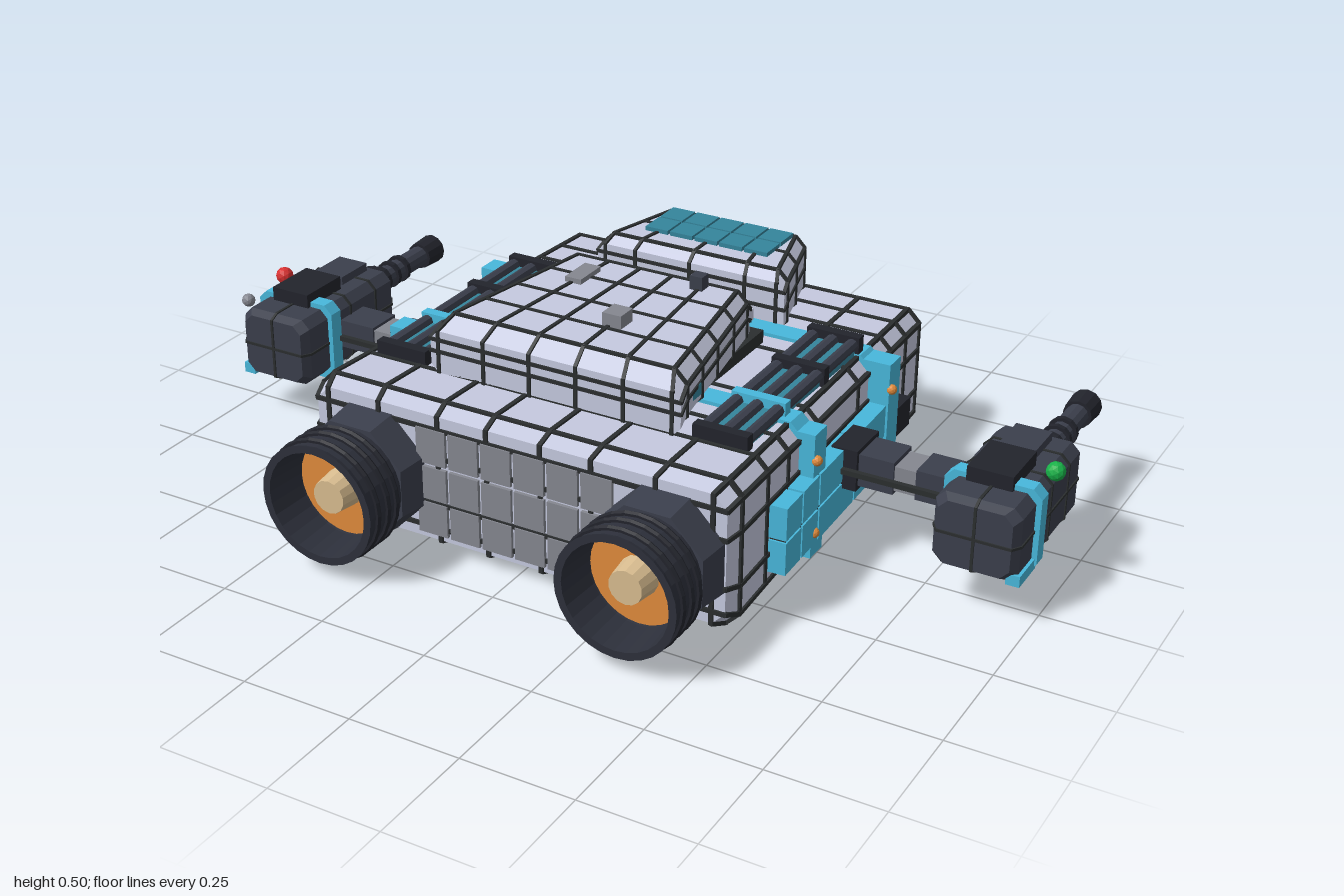
import * as THREE from 'three';
import { mergeGeometries } from 'three/addons/utils/BufferGeometryUtils.js';

const mat = (color, extra = {}) => new THREE.MeshStandardMaterial({ color, flatShading: true, ...extra });
const M = {
  hull: mat(0xc6cae0), grey: mat(0x858790), seam: mat(0x2b2e2f), dark: mat(0x3b3f4c),
  black: mat(0x22242c), cyan: mat(0x48b8dc), teal: mat(0x35859c), tan: mat(0xd9bd90),
  orange: mat(0xe08b3c), red: mat(0xd83030), green: mat(0x18b048),
  shell: mat(0x2d303b, { side: THREE.DoubleSide }),
};

function add(parent, name, geo, material, x = 0, y = 0, z = 0) {
  const m = new THREE.Mesh(geo, material);
  m.name = name;
  m.position.set(x, y, z);
  parent.add(m);
  return m;
}

// Box given by its extents on each axis
function box(parent, name, material, x0, x1, y0, y1, z0, z1) {
  return add(parent, name, new THREE.BoxGeometry(Math.abs(x1 - x0), y1 - y0, z1 - z0), material,
    (x0 + x1) / 2, (y0 + y1) / 2, (z0 + z1) / 2);
}

// Chamfered cross-section [z, halfWidth, bottom, top, chamfer] as eight points
const outline = ([z, w, b, t, c]) => [
  [w, b + c], [w, t - c], [w - c, t], [c - w, t], [-w, t - c], [-w, b + c], [c - w, b], [w - c, b],
].map(([x, y]) => new THREE.Vector3(x, y, z));

// Solid through cross-sections ordered from low z to high z
function loft(sections) {
  const rings = sections.map(outline), v = [];
  const tri = (...pts) => pts.forEach(p => v.push(p.x, p.y, p.z));
  for (let i = 0; i < rings.length - 1; i++) {
    for (let j = 0; j < 8; j++) {
      const k = (j + 1) % 8, a = rings[i], b = rings[i + 1];
      tri(a[j], a[k], b[k]);
      tri(a[j], b[k], b[j]);
    }
  }
  const first = rings[0], last = rings[rings.length - 1];
  for (let j = 1; j < 7; j++) {
    tri(first[0], first[j + 1], first[j]);
    tri(last[0], last[j], last[j + 1]);
  }
  const g = new THREE.BufferGeometry();
  g.setAttribute('position', new THREE.Float32BufferAttribute(v, 3));
  g.computeVertexNormals();
  return g;
}

// Cross-section at z, grown outwards by d
function sectionAt(sections, z, d) {
  let i = 0;
  while (i < sections.length - 2 && sections[i + 1][0] < z) i++;
  const a = sections[i], b = sections[i + 1], t = (z - a[0]) / (b[0] - a[0]);
  const s = a.map((n, k) => n + (b[k] - n) * t);
  return [z, s[1] + d, s[2] - d, s[3] + d, s[4]];
}
const band = (sections, z, width, d) =>
  loft([z - width / 2, z + width / 2].map(q => [q, ...sectionAt(sections, z, d).slice(1)]));

function strip(a, b, w) {
  const g = new THREE.BoxGeometry(w, w, a.distanceTo(b) + w / 2), o = new THREE.Object3D();
  o.position.copy(a).lerp(b, 0.5);
  o.up.set(0, Math.abs(b.y - a.y) > 0.8 * a.distanceTo(b) ? 0 : 1, 0.01);
  o.lookAt(b);
  o.updateMatrix();
  return g.applyMatrix4(o.matrix);
}

// Panel gaps: rings at zs, long lines at fractions across the top and up the sides
function seams(sections, zs, across, up, w = 0.01) {
  const rings = sections.map(outline), parts = zs.map(z => band(sections, z, w, w * 0.4));
  const at = (ring, edge, t) => ring[edge].clone().lerp(ring[(edge + 1) % 8], t);
  const lines = [];
  for (const t of across) lines.push([2, t, 6, 1 - t]);
  for (const t of up) lines.push([0, t, 4, 1 - t]);
  for (const [e, t, f, u] of lines) {
    for (let i = 0; i < rings.length - 1; i++) {
      parts.push(strip(at(rings[i], e, t), at(rings[i + 1], e, t), w));
      parts.push(strip(at(rings[i], f, u), at(rings[i + 1], f, u), w));
    }
    for (const r of [rings[0], rings[rings.length - 1]]) parts.push(strip(at(r, e, t), at(r, f, u), w));
  }
  return mergeGeometries(parts.map(p => {
    const g = p.index ? p.toNonIndexed() : p;
    g.deleteAttribute('uv');
    return g;
  }));
}

function panelled(parent, name, material, sections, ...seamArgs) {
  add(parent, name, loft(sections), material);
  add(parent, name + 'PanelGaps', seams(sections, ...seamArgs), M.seam);
}

const rod = (r0, r1, len, n = 12) => new THREE.CylinderGeometry(r1, r0, len, n).rotateX(Math.PI / 2);

function nozzle(parent, x) {
  const g = new THREE.Group();
  g.name = 'nozzle';
  g.position.set(x, 0.17, 0);
  parent.add(g);
  // Square flared mount
  const mount = new THREE.CylinderGeometry(0.18, 0.195, 0.09, 8).rotateY(Math.PI / 8).rotateX(Math.PI / 2);
  add(g, 'nozzleMount', mount.scale(0.75, 0.77, 1), M.dark, 0, 0, 0.44);
  const profile = [[0.12, 0.41], [0.125, 0.5], [0.132, 0.51], [0.132, 0.6], [0.137, 0.612],
    [0.12, 0.612], [0.112, 0.52], [0.1, 0.47]].map(([r, z]) => new THREE.Vector2(r, z));
  add(g, 'nozzleShell', new THREE.LatheGeometry(profile, 28).rotateX(Math.PI / 2), M.shell);
  for (const z of [0.515, 0.545, 0.58]) add(g, 'nozzleRing', new THREE.TorusGeometry(0.134, 0.007, 6, 28), M.black, 0, 0, z);
  add(g, 'glowDisc', rod(0.113, 0.113, 0.02, 28), M.orange, 0, 0, 0.505);
  add(g, 'nozzleHub', rod(0.045, 0.038, 0.06, 14), M.tan, 0, 0, 0.54);
}

function sidePod(parent, s) {
  const g = new THREE.Group();
  g.name = s > 0 ? 'leftPod' : 'rightPod';
  g.position.x = 0.876 * s;
  parent.add(g);
  const body = [[-0.29, 0.075, 0.115, 0.25, 0.02], [-0.265, 0.093, 0.1, 0.265, 0.02],
    [0.06, 0.093, 0.1, 0.265, 0.02], [0.08, 0.08, 0.11, 0.255, 0.02]];
  panelled(g, 'podBody', M.dark, body, [-0.2, -0.1], [0.5], [0.5], 0.006);
  add(g, 'podBand', band(body, -0.028, 0.035, 0.012), M.cyan);
  box(g, 'podEdge', M.cyan, 0.07 * s, 0.1 * s, 0.095, 0.12, -0.02, 0.07);
  box(g, 'podTopBlock', M.black, -0.055, 0.045, 0.26, 0.298, -0.13, 0.0);
  box(g, 'podTopRib', M.dark, -0.045, 0.035, 0.26, 0.285, -0.25, -0.15);
  // Barrel pointing backwards
  add(g, 'barrel', rod(0.026, 0.026, 0.27), M.dark, 0, 0.195, -0.41);
  add(g, 'muzzle', rod(0.036, 0.033, 0.06), M.black, 0, 0.195, -0.55);
  add(g, 'barrelCollar', rod(0.045, 0.035, 0.05), M.black, 0, 0.195, -0.305);
  for (const z of [-0.35, -0.39, -0.43]) add(g, 'barrelRing', rod(0.034, 0.034, 0.012), M.black, 0, 0.195, z);
  const bulb = new THREE.IcosahedronGeometry(0.021, 1);
  add(g, 'navigationLight', bulb, s > 0 ? M.green : M.red, 0.098 * s, 0.28, -0.1);
  if (s < 0) add(g, 'whiteLight', new THREE.IcosahedronGeometry(0.016, 1), M.grey, -0.098, 0.27, 0.04);
}

function sideFittings(parent, s) {
  // Cyan side plating, split into panels
  const plating = new THREE.Group();
  plating.name = 'sidePlating';
  plating.rotation.y = 0.03 * s;
  parent.add(plating);
  [[0.175, 0.25], [0.09, 0.168], [-0.1, 0.083], [-0.3, -0.107]].forEach(([z0, z1]) => {
    for (const y of [0.075, 0.156]) box(plating, 'sidePanel', M.cyan, 0.47 * s, 0.53 * s, y, y + 0.075, z0, z1);
  });
  box(plating, 'sidePanelGaps', M.seam, 0.47 * s, 0.526 * s, 0.08, 0.226, -0.295, 0.245);
  for (const z of [0.065, -0.31]) {
    box(parent, 'strapSide', M.cyan, 0.46 * s, 0.527 * s, 0.04, 0.33, z - 0.028, z + 0.028);
    for (const y of [0.1, 0.27]) add(parent, 'sideLamp', new THREE.IcosahedronGeometry(0.012, 1), M.orange, 0.53 * s, y, z + 0.02);
  }
  // Arm out to the pod
  box(parent, 'armRoot', M.black, 0.5 * s, 0.56 * s, 0.14, 0.235, -0.16, -0.05);
  box(parent, 'armInner', M.dark, 0.55 * s, 0.64 * s, 0.15, 0.225, -0.15, -0.06);
  box(parent, 'armMiddle', M.grey, 0.63 * s, 0.7 * s, 0.158, 0.215, -0.145, -0.065);
  box(parent, 'armOuter', M.dark, 0.69 * s, 0.79 * s, 0.153, 0.222, -0.15, -0.06);
  box(parent, 'armRod', M.seam, 0.52 * s, 0.79 * s, 0.18, 0.192, -0.05, -0.038);
  // Rear side vent
  box(parent, 'sideVent', M.black, 0.46 * s, 0.505 * s, 0.1, 0.17, -0.465, -0.345);
  // Pipe run on the deck
  box(parent, 'pipeTray', M.teal, 0.335 * s, 0.44 * s, 0.33, 0.355, -0.29, 0.23);
  for (const x of [0.34, 0.387, 0.434]) add(parent, 'deckPipe', rod(0.014, 0.014, 0.54, 8), M.dark, x * s, 0.358, -0.03);
  for (const z of [0.235, 0.065, -0.12, -0.295]) {
    box(parent, 'pipeClamp', z === 0.065 ? M.cyan : M.black, 0.325 * s, 0.45 * s, 0.33, 0.376, z - 0.012, z + 0.012);
  }
  box(parent, 'deckWindow', M.teal, 0.2 * s, 0.288 * s, 0.385, 0.412, 0.14, 0.195);
}

export function createModel() {
  const root = new THREE.Group();
  root.name = 'gunship';

  // Main hull
  const hull = [[-0.612, 0.445, 0.06, 0.305, 0.025], [-0.585, 0.465, 0.04, 0.322, 0.03],
    [0.37, 0.503, 0.02, 0.345, 0.03], [0.41, 0.492, 0.035, 0.33, 0.03]];
  panelled(root, 'hull', M.hull, hull, [-0.585, -0.5, -0.41, -0.22, 0, 0.15, 0.25, 0.37],
    [0, 0.14, 0.3, 0.43, 0.57, 0.7, 0.86, 1], [0, 0.25, 0.72, 1]);
  for (const z of [0.065, -0.31]) add(root, 'hullStrap', band(hull, z, 0.055, 0.009), M.cyan);

  // Grey front bulkhead and dark belly
  for (let i = 0; i < 6; i++) {
    const x = -0.24 + i * 0.08;
    for (const [y0, y1] of [[0.05, 0.125], [0.133, 0.21], [0.218, 0.3]]) {
      box(root, 'frontPanel', M.grey, x + 0.004, x + 0.076, y0, y1, 0.4, 0.418);
    }
  }
  box(root, 'bellyPlate', M.black, -0.275, 0.275, 0, 0.035, -0.5, 0.3);

  // Raised deck
  const deck = [[-0.215, 0.218, 0.34, 0.44, 0.02], [-0.185, 0.225, 0.34, 0.47, 0.025],
    [0.215, 0.295, 0.34, 0.47, 0.03], [0.255, 0.303, 0.34, 0.44, 0.02]];
  panelled(root, 'raisedDeck', M.hull, deck, [-0.185, -0.09, 0.02, 0.12, 0.215],
    [0, 0.2, 0.4, 0.6, 0.8, 1], [0.55, 1], 0.008);
  box(root, 'deckBase', M.seam, -0.24, 0.24, 0.335, 0.365, -0.24, 0.2);

  // Bridge with windows
  const bridge = [[-0.575, 0.175, 0.31, 0.43, 0.02], [-0.555, 0.185, 0.31, 0.455, 0.025],
    [-0.365, 0.235, 0.31, 0.455, 0.025], [-0.34, 0.24, 0.31, 0.435, 0.02]];
  panelled(root, 'bridge', M.hull, bridge, [-0.555, -0.46, -0.365], [0, 0.18, 0.5, 0.82, 1], [0.5, 1], 0.008);
  for (let i = 0; i < 5; i++) {
    const x = -0.16 + i * 0.064;
    for (const z of [-0.55, -0.48]) box(root, 'roofWindow', M.teal, x + 0.003, x + 0.061, 0.445, 0.465, z, z + 0.064);
    const pane = box(root, 'rearWindow', M.teal, x + 0.003, x + 0.061, 0.365, 0.425, -0.59, -0.575);
    pane.rotation.x = -0.3;
  }

  // Small deck details
  box(root, 'deckPost', M.grey, 0.035, 0.08, 0.46, 0.5, 0.06, 0.11);
  box(root, 'deckMast', M.dark, 0.105, 0.135, 0.46, 0.502, -0.175, -0.145);
  box(root, 'deckHatch', M.grey, -0.15, -0.11, 0.46, 0.482, -0.13, -0.045);
  box(root, 'sternBox', M.grey, 0.01, 0.09, 0.33, 0.372, -0.32, -0.235);
  box(root, 'sternBoxLight', M.hull, 0.11, 0.17, 0.33, 0.365, -0.33, -0.23);
  box(root, 'sternRail', M.dark, -0.18, -0.16, 0.33, 0.36, -0.335, -0.23);

  for (const s of [-1, 1]) {
    nozzle(root, 0.355 * s);
    sideFittings(root, s);
    sidePod(root, s);
  }
  return root;
}
